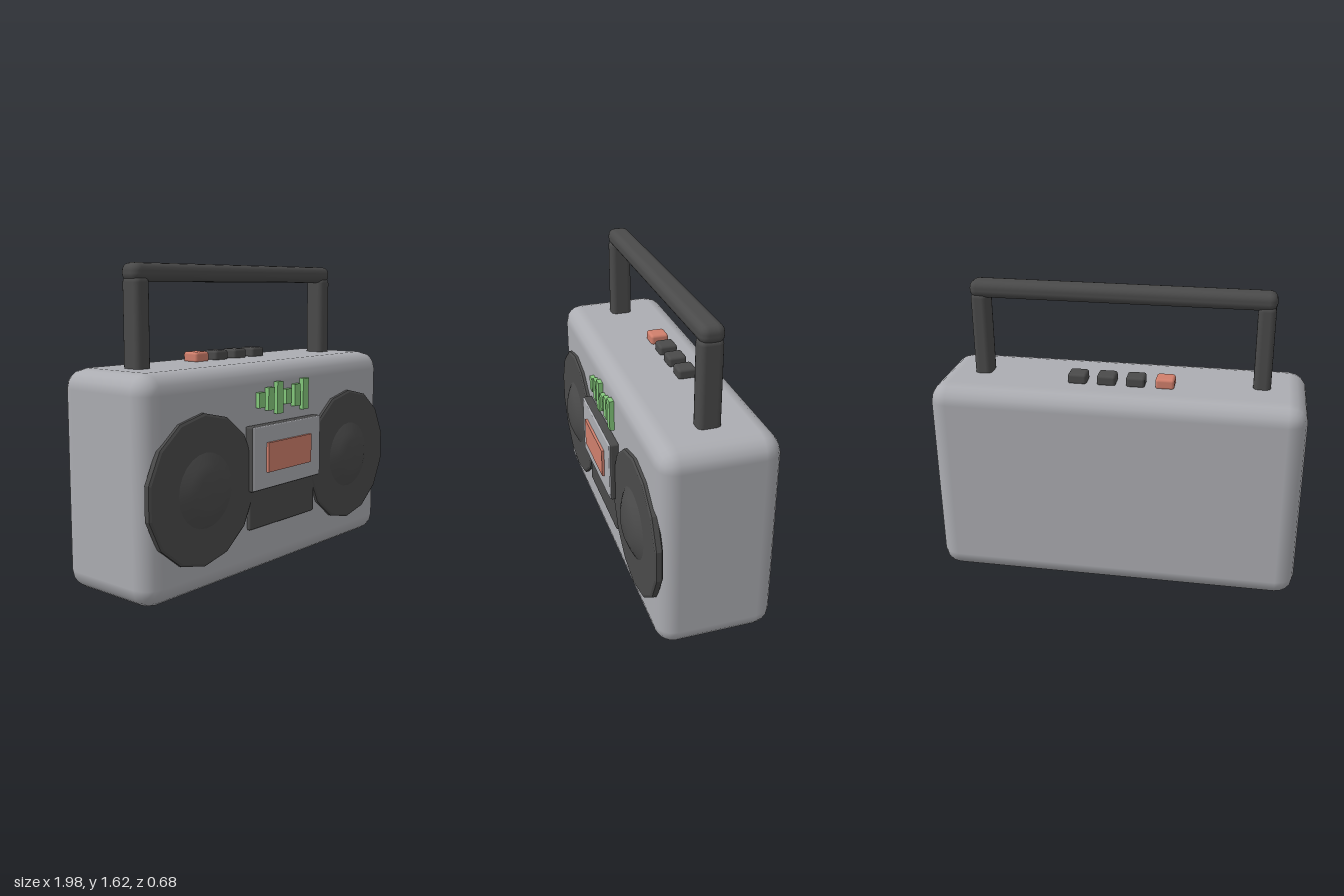
import * as THREE from 'three';
import { RoundedBoxGeometry } from 'three/addons/geometries/RoundedBoxGeometry.js';

const material = (name, color) => {
  const m = new THREE.MeshStandardMaterial({ color });
  m.name = name;
  return m;
};

export function createModel() {
  const silver = material('silver casing', 0xacadb2);
  const dark = material('dark plastic', 0x4a4a4a);
  const red = material('red accent', 0xd07f6c);
  const green = material('green display', 0x85c97c);

  const model = new THREE.Group();
  model.name = 'portableStereo';

  const add = (name, geometry, mat, x = 0, y = 0, z = 0) => {
    const mesh = new THREE.Mesh(geometry, mat);
    mesh.name = name;
    mesh.position.set(x, y, z);
    model.add(mesh);
    return mesh;
  };
  // Box given by its extents, with optional rounded edges
  const block = (name, mat, [x0, x1], [y0, y1], [z0, z1], radius = 0) => {
    const size = [x1 - x0, y1 - y0, z1 - z0];
    const geometry = radius
      ? new RoundedBoxGeometry(...size, 2, radius)
      : new THREE.BoxGeometry(...size);
    return add(name, geometry, mat, (x0 + x1) / 2, (y0 + y1) / 2, (z0 + z1) / 2);
  };
  // Profile of [radius, z] turned about the z axis
  const turned = (points, sides) =>
    new THREE.LatheGeometry(points.map(([r, z]) => new THREE.Vector2(r, z)), sides).rotateX(Math.PI / 2);

  // Casing
  block('casing', silver, [-0.99, 0.99], [0, 1.115], [-0.34, 0.274], 0.1);

  // Handle
  block('handleBar', dark, [-0.8, 0.8], [1.532, 1.625], [-0.097, 0.027], 0.04);
  for (const side of [-1, 1]) {
    const label = side > 0 ? 'left' : 'right';
    const x = side * 0.75;
    block(label + 'HandlePost', dark, [x - 0.046, x + 0.046], [1.06, 1.56], [-0.093, 0.027], 0.03);

    // Faceted speaker disc with a shallow smooth cone
    const disc = turned([[0, 0.256], [0.37, 0.256], [0.38, 0.263], [0.38, 0.29], [0.368, 0.297], [0, 0.297]], 14)
      .toNonIndexed();
    disc.computeVertexNormals();
    add(label + 'Speaker', disc, dark, side * 0.62, 0.53);
    add(label + 'SpeakerCone', turned([[0.19, 0.296], [0.14, 0.32], [0.09, 0.338], [0, 0.342]], 24), dark, side * 0.615, 0.53);
  }

  // Top buttons
  for (let i = 0; i < 4; i++) {
    const x = -0.25 + i * 0.155;
    block('button' + (i + 1), i ? dark : red, [x - 0.05, x + 0.05], [1.108, 1.166], [-0.16, -0.06], 0.015);
  }

  // Level display
  for (let i = 0; i < 6; i++) {
    const x = -0.1875 + i * 0.075;
    const half = [0.04, 0.06, 0.085][i % 3];
    block('levelBar' + (i + 1), green, [x - 0.025, x + 0.025], [0.93 - half, 0.93 + half], [0.265, 0.299]);
  }

  // Cassette deck
  block('deckPanel', dark, [-0.28, 0.28], [0.255, 0.78], [0.25, 0.293], 0.01);
  block('deckFrame', dark, [-0.294, 0.292], [0.463, 0.803], [0.27, 0.321], 0.01);
  block('deckDoor', silver, [-0.289, 0.287], [0.468, 0.8], [0.312, 0.327], 0.006);
  block('deckWindow', red, [-0.187, 0.185], [0.556, 0.712], [0.32, 0.341]);

  return model;
}
